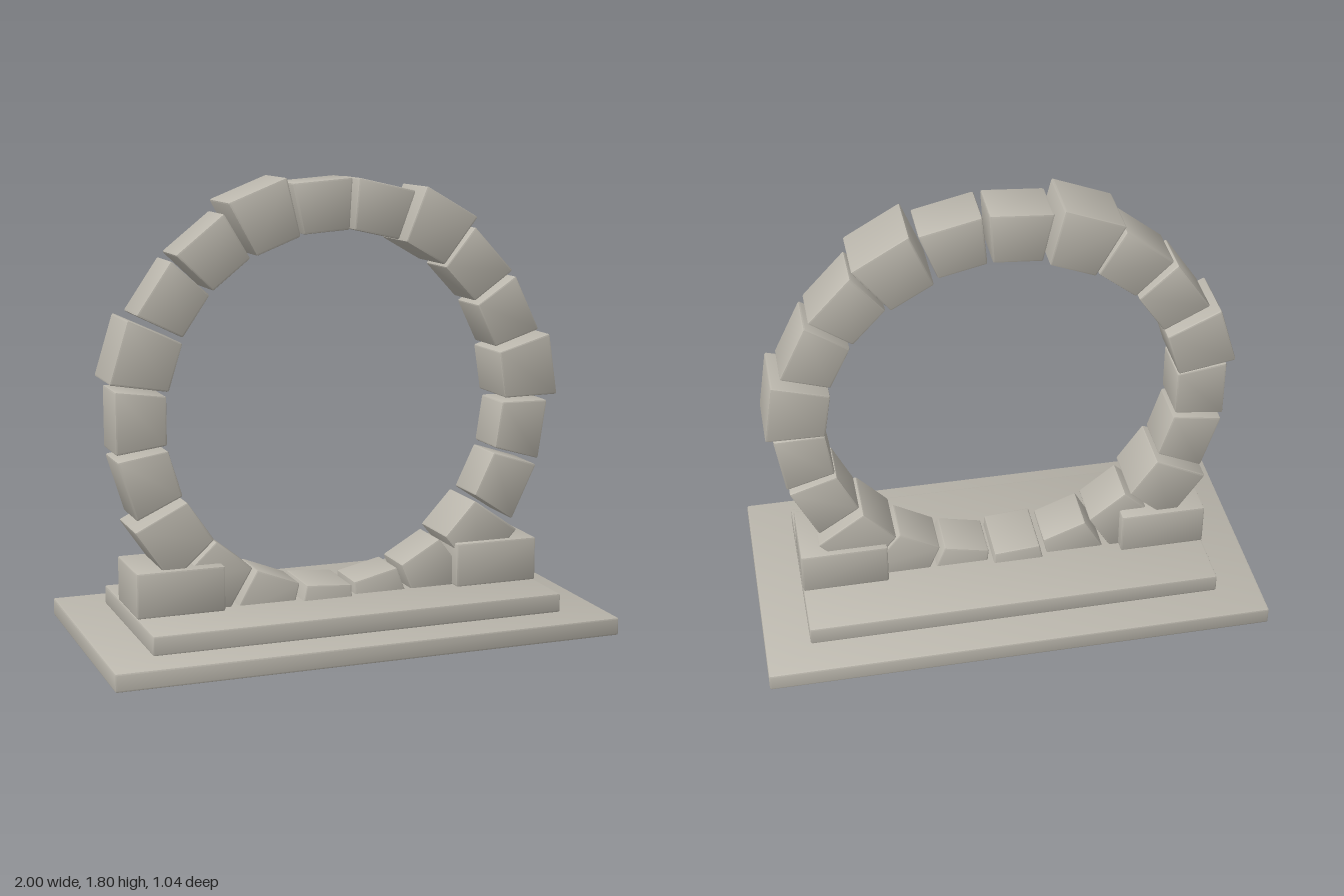
import * as THREE from 'three';
import { RoundedBoxGeometry } from 'three/addons/geometries/RoundedBoxGeometry.js';
import { toCreasedNormals } from 'three/addons/utils/BufferGeometryUtils.js';

const BEVEL = 0.007;
const CENTER_Y = 0.915;
const INNER_R = 0.683;
const COUNT = 21;
const STEP = (Math.PI * 2) / COUNT;
const HALF_ANGLE = THREE.MathUtils.degToRad(7.75);

// Slab with softened edges, given by its bottom and top heights
function slab(name, material, width, y0, y1, depth, x = 0) {
  const geometry = new RoundedBoxGeometry(width, y1 - y0, depth, 1, BEVEL);
  const mesh = new THREE.Mesh(toCreasedNormals(geometry, 0.5), material);
  mesh.name = name;
  mesh.position.set(x, (y0 + y1) / 2, 0);
  return mesh;
}

// Arch stone: a softened box tapered towards the ring centre
function wedgeGeometry(outerR, depth) {
  const midR = (outerR + INNER_R) / 2;
  const width = 2 * midR * Math.tan(HALF_ANGLE);
  const geometry = new RoundedBoxGeometry(width, outerR - INNER_R, depth, 1, BEVEL);
  geometry.translate(0, midR, 0);
  const p = geometry.attributes.position;
  for (let i = 0; i < p.count; i++) p.setX(i, (p.getX(i) * p.getY(i)) / midR);
  return toCreasedNormals(geometry, 0.5);
}

export function createModel() {
  const model = new THREE.Group();
  model.name = 'stoneRingGate';

  const stone = new THREE.MeshStandardMaterial({ color: 0xbab6ac });
  stone.name = 'pale stone';

  // Stepped base
  model.add(slab('lowerStep', stone, 2, 0.035, 0.105, 1.04));
  model.add(slab('upperStep', stone, 1.644, 0.105, 0.18, 0.742));

  // Footing blocks either side of the ring
  for (const side of [1, -1]) {
    const name = side > 0 ? 'leftFooting' : 'rightFooting';
    model.add(slab(name, stone, 0.344, 0.18, 0.355, 0.294, side * 0.65));
  }

  // Ring of stones, every third one larger
  const ring = new THREE.Group();
  ring.name = 'stoneRing';
  ring.position.y = CENTER_Y;
  const small = wedgeGeometry(0.878, 0.196);
  const large = wedgeGeometry(0.908, 0.246);
  for (let i = 0; i < COUNT; i++) {
    const isLarge = i % 3 === 0;
    const block = new THREE.Mesh(isLarge ? large : small, stone);
    block.name = isLarge ? 'largeRingStone' : 'ringStone';
    block.rotation.z = (i + 0.5) * STEP - Math.PI / 2;
    ring.add(block);
  }
  model.add(ring);

  return model;
}
